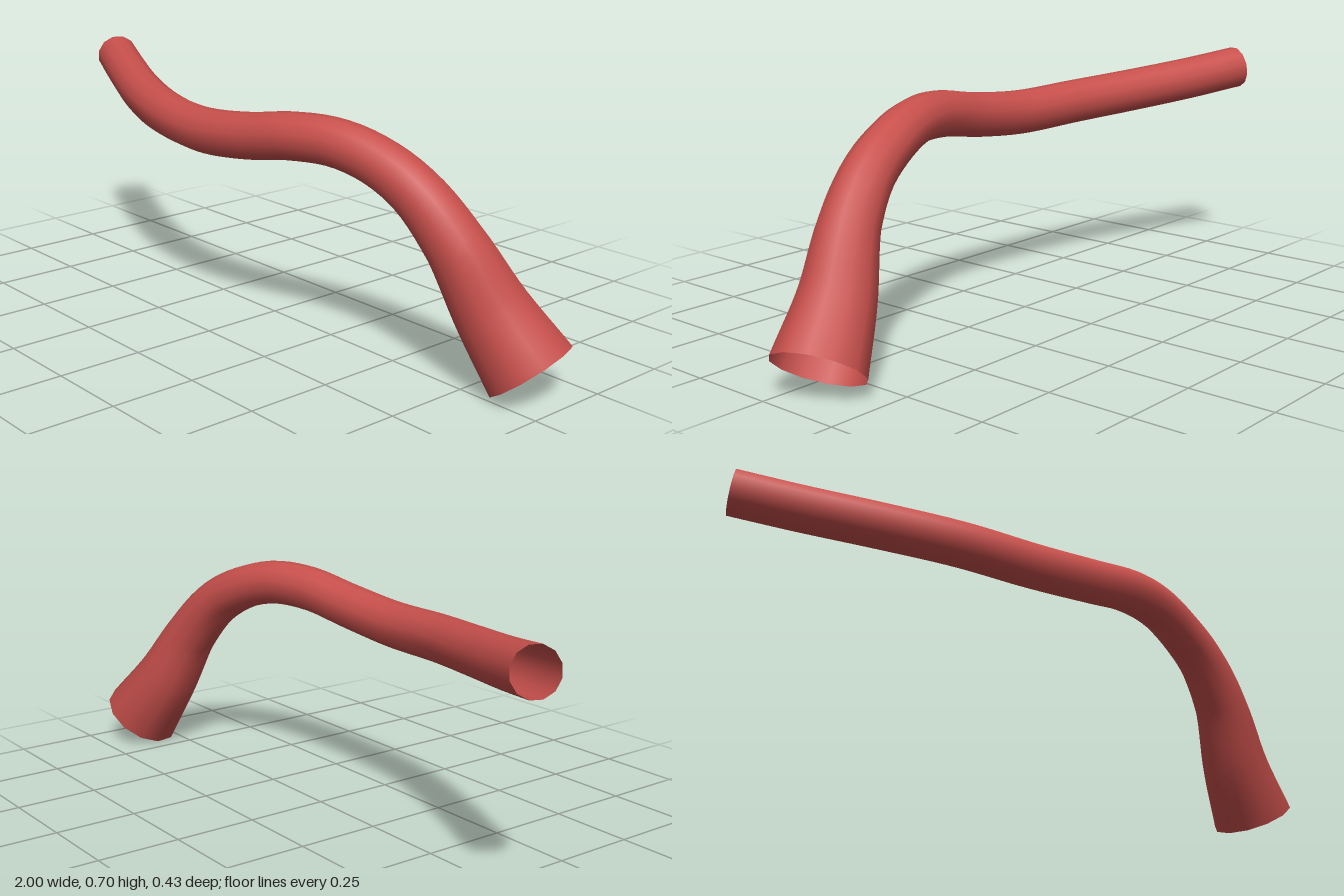
import * as THREE from 'three';

const SEGMENTS = 64, SIDES = 12;

// Centre line of the pipe: x, y, z, radius
const STATIONS = [
  [-0.972, 0.640, -0.112, 0.067],
  [-0.80, 0.614, -0.038, 0.067],
  [-0.60, 0.590, 0.045, 0.067],
  [-0.38, 0.572, 0.115, 0.067],
  [-0.15, 0.563, 0.147, 0.067],
  [0.05, 0.581, 0.145, 0.067],
  [0.22, 0.608, 0.124, 0.067],
  [0.36, 0.610, 0.090, 0.067],
  [0.48, 0.578, 0.056, 0.069],
  [0.60, 0.510, 0.026, 0.074],
  [0.705, 0.392, -0.008, 0.084],
  [0.80, 0.222, -0.056, 0.106],
  [0.90, 0.082, -0.095, 0.128],
];

// Radius at curve parameter t, eased between stations
function radiusAt(t) {
  const f = t * (STATIONS.length - 1);
  const i = Math.min(Math.floor(f), STATIONS.length - 2);
  return THREE.MathUtils.lerp(STATIONS[i][3], STATIONS[i + 1][3], f - i);
}

export function createModel() {
  const group = new THREE.Group();
  group.name = 'flaredPipe';
  const red = new THREE.MeshStandardMaterial({ color: 0xc8504c, side: THREE.DoubleSide });
  red.name = 'red';

  const curve = new THREE.CatmullRomCurve3(STATIONS.map(([x, y, z]) => new THREE.Vector3(x, y, z)));
  const geometry = new THREE.TubeGeometry(curve, SEGMENTS, 1, SIDES, false);
  const position = geometry.attributes.position, normal = geometry.attributes.normal;
  const n = new THREE.Vector3(), p = new THREE.Vector3();

  // Give each ring its own radius and turn it half a side so flats face up and down
  for (let i = 0; i <= SEGMENTS; i++) {
    const u = i / SEGMENTS;
    const centre = curve.getPointAt(u), tangent = curve.getTangentAt(u);
    const radius = radiusAt(curve.getUtoTmapping(u));
    for (let j = 0; j <= SIDES; j++) {
      const k = i * (SIDES + 1) + j;
      n.fromBufferAttribute(normal, k).applyAxisAngle(tangent, Math.PI / SIDES);
      p.copy(centre).addScaledVector(n, radius);
      normal.setXYZ(k, n.x, n.y, n.z);
      position.setXYZ(k, p.x, p.y, p.z);
    }
  }

  const pipe = new THREE.Mesh(geometry, red);
  pipe.name = 'pipe';
  group.add(pipe);
  return group;
}
